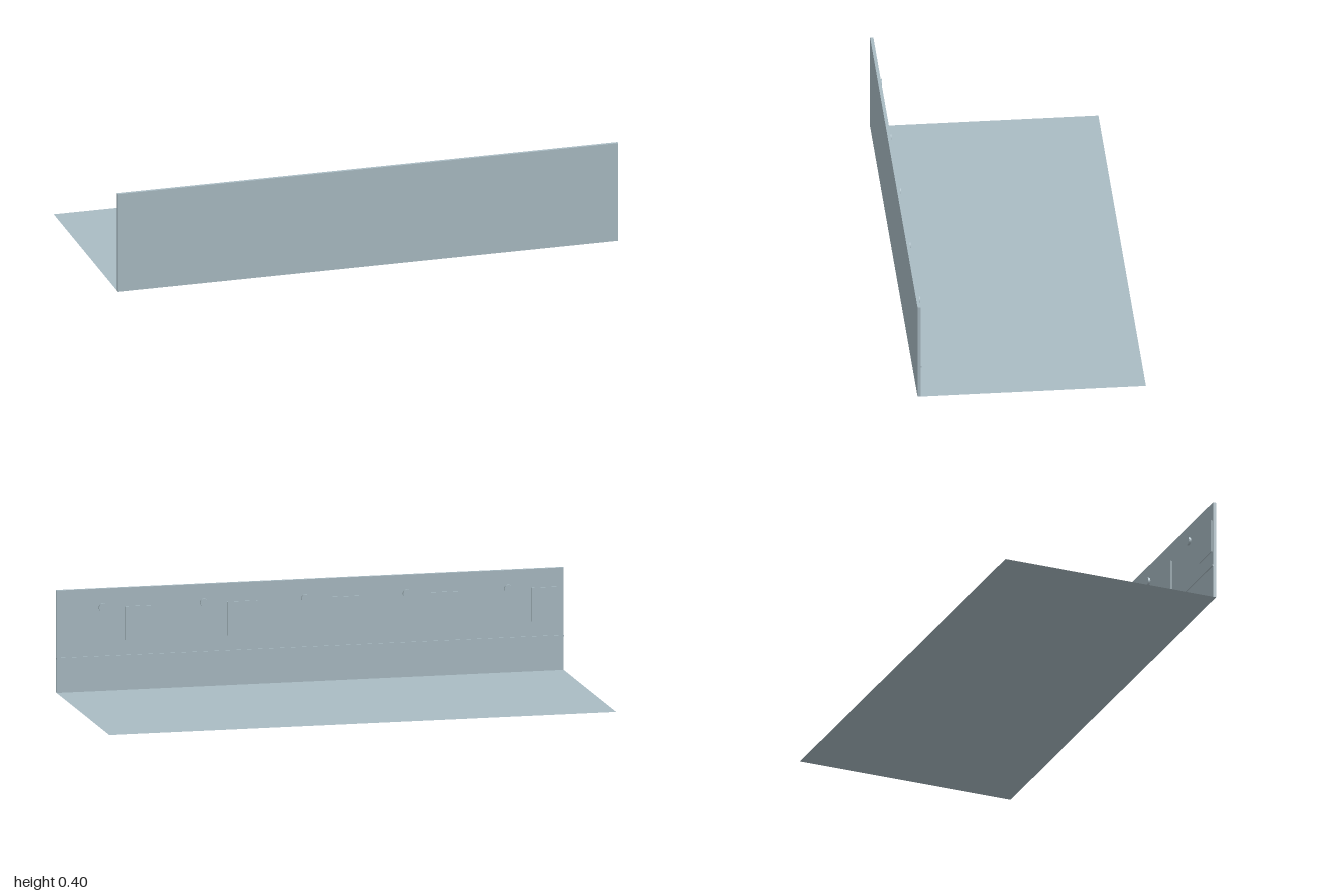
import * as THREE from 'three';

export function createModel() {
  const model = new THREE.Group();
  const paint = new THREE.MeshStandardMaterial({ color: 0xaabcc4, side: THREE.DoubleSide });
  paint.name = 'paleBlueGrey';

  const add = (name, geometry, x, y, z) => {
    const mesh = new THREE.Mesh(geometry, paint);
    mesh.name = name;
    mesh.position.set(x, y, z);
    model.add(mesh);
    return mesh;
  };

  const wallBack = 0.4275; // z of the wall's inner face

  // Paper-thin floor and the upright wall along its front edge
  add('floor', new THREE.PlaneGeometry(2, 0.88).rotateX(-Math.PI / 2), 0, 0, 0);
  add('wall', new THREE.BoxGeometry(2, 0.4, 0.44 - wallBack), 0, 0.2, (0.44 + wallBack) / 2);

  // Slim rail along the inner face
  add('rail', new THREE.BoxGeometry(2, 0.006, 0.004), 0, 0.134, wallBack - 0.002);

  // Five bays, each with a round knob and a thin panel beside it
  const knob = new THREE.CylinderGeometry(0.016, 0.016, 0.009, 24).rotateX(Math.PI / 2);
  const stem = new THREE.CylinderGeometry(0.004, 0.004, 0.005, 12).rotateX(Math.PI / 2);
  const panel = new THREE.BoxGeometry(0.12, 0.132, 0.0042);
  for (let i = 0; i < 5; i++) {
    const x = 0.82 - i * 0.4;
    add('knob', knob, x, 0.328, 0.4195);
    add('knobStem', stem, x, 0.328, wallBack - 0.002);
    add('panel', panel, x - 0.152, 0.261, wallBack - 0.0021);
  }
  return model;
}
